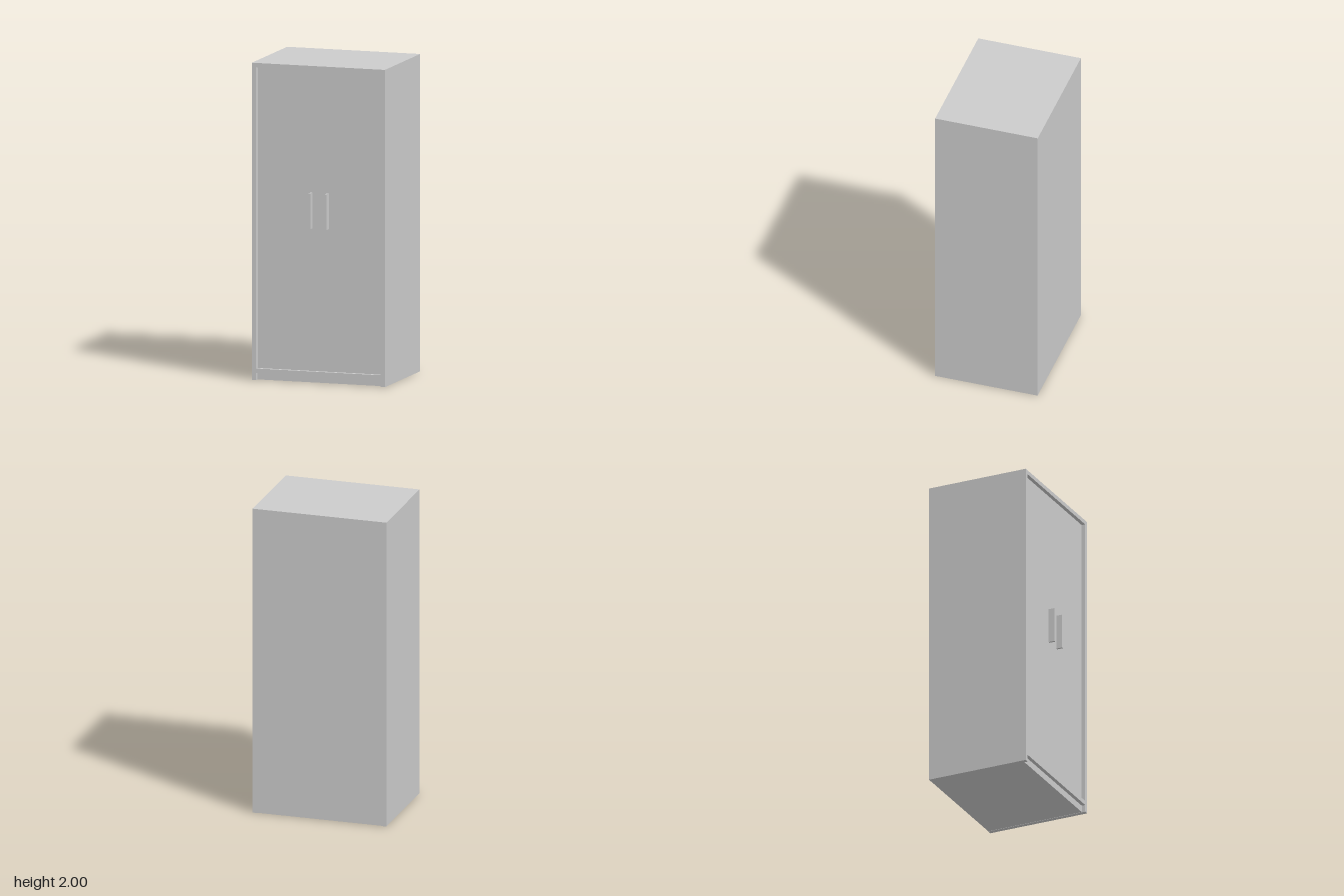
import * as THREE from 'three';

const material = new THREE.MeshStandardMaterial({ color: 0xcccccc, flatShading: true });

export function createModel() {
  const cabinet = new THREE.Group();
  cabinet.name = 'cabinet';

  // Box panel given by its lower and upper corner
  const panel = (name, [x0, y0, z0], [x1, y1, z1]) => {
    const mesh = new THREE.Mesh(new THREE.BoxGeometry(x1 - x0, y1 - y0, z1 - z0), material);
    mesh.position.set((x0 + x1) / 2, (y0 + y1) / 2, (z0 + z1) / 2);
    mesh.name = name;
    cabinet.add(mesh);
  };

  const halfW = 0.438, inner = 0.41, back = -0.345, front = 0.326, recess = 0.302;

  // Carcass
  panel('leftSide', [inner, 0, back], [halfW, 2, front]);
  panel('rightSide', [-halfW, 0, back], [-inner, 2, front]);
  panel('topPanel', [-inner, 1.973, back], [inner, 2, front]);
  panel('bottomShelf', [-inner, 0.046, back], [inner, 0.074, front]);
  panel('backPanel', [-inner, 0.074, back], [inner, 1.973, back + 0.02]);

  // Plinth set back under the bottom shelf
  panel('plinth', [-inner, 0.002, back], [inner, 0.046, recess]);

  // Recessed front with a narrow gap at each side
  panel('doorFront', [-inner + 0.005, 0.074, recess - 0.028], [inner - 0.005, 1.973, recess]);

  // Pair of upright bar handles
  for (const side of [1, -1]) {
    const x = side * 0.054;
    panel(side > 0 ? 'leftHandle' : 'rightHandle',
      [x - 0.007, 0.973, recess], [x + 0.007, 1.198, 0.343]);
  }

  return cabinet;
}
